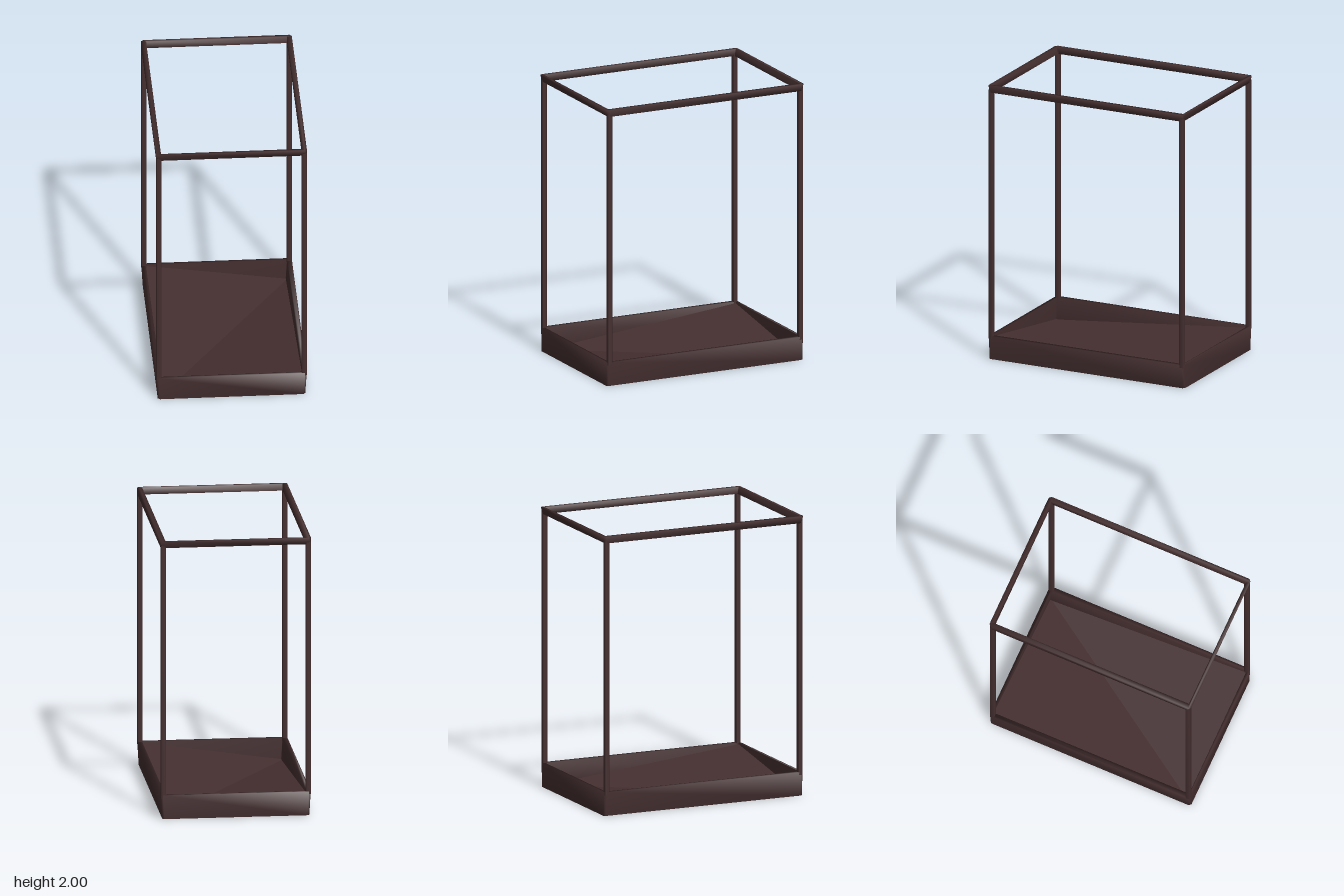
import * as THREE from 'three';
import { mergeVertices } from 'three/addons/utils/BufferGeometryUtils.js';

const frameBrown = new THREE.MeshStandardMaterial({ color: 0x452f30 });
frameBrown.name = 'dark brown';

// Rectangle outline with small cut corners
function outline(path, hx, hz, c) {
  const pts = [[hx - c, -hz], [hx, -hz + c], [hx, hz - c], [hx - c, hz],
    [-hx + c, hz], [-hx, hz - c], [-hx, -hz + c], [-hx + c, -hz]];
  pts.forEach(([x, z], i) => (i ? path.lineTo(x, z) : path.moveTo(x, z)));
  path.closePath();
  return path;
}

// Share vertices so the shading rolls softly over the edges
function soften(geometry) {
  geometry.deleteAttribute('normal');
  geometry.deleteAttribute('uv');
  const g = mergeVertices(geometry, 1e-4);
  g.computeVertexNormals();
  return g;
}

// Hollow rectangular band from y0 to y1; its lower edge is scaled by sx, sz
function band(y0, y1, hx, hz, tx, tz, sx, sz) {
  const shape = outline(new THREE.Shape(), hx, hz, 0.015);
  shape.holes.push(outline(new THREE.Path(), hx - tx, hz - tz, 0.002));
  const g = new THREE.ExtrudeGeometry(shape, { depth: y1 - y0, bevelEnabled: false });
  g.rotateX(-Math.PI / 2).translate(0, y0, 0);
  const p = g.attributes.position;
  for (let i = 0; i < p.count; i++) {
    if (p.getY(i) < y0 + 0.001) p.setXYZ(i, p.getX(i) * sx, y0, p.getZ(i) * sz);
  }
  return soften(g);
}

// Tray floor folded into a shallow valley along one diagonal
function foldedFloor(hx, hz, low, high) {
  const frontRight = [-hx, low, hz], backLeft = [hx, low, -hz];
  const frontLeft = [hx, high, hz], backRight = [-hx, high, -hz];
  const corners = [frontRight, frontLeft, backLeft, frontRight, backLeft, backRight];
  const g = new THREE.BufferGeometry();
  g.setAttribute('position', new THREE.Float32BufferAttribute(corners.flat(), 3));
  g.computeVertexNormals();
  return g;
}

export function createModel() {
  const model = new THREE.Group();
  model.name = 'displayFrame';
  const add = (name, geometry, x = 0, y = 0, z = 0) => {
    const mesh = new THREE.Mesh(geometry, frameBrown);
    mesh.name = name;
    mesh.position.set(x, y, z);
    model.add(mesh);
  };

  // Base: skirt leaning inward at the sides, folded floor inside, flat underside
  add('baseSkirt', band(0, 0.17, 0.527, 0.765, 0.033, 0.02, 0.98, 1.003));
  add('baseFloor', foldedFloor(0.495, 0.746, 0.012, 0.16));
  add('baseUnderside', new THREE.PlaneGeometry(1.0, 1.51).rotateX(Math.PI / 2), 0, 0.003, 0);

  // Top frame, slightly wider at its upper edge
  add('topFrame', band(1.953, 2, 0.527, 0.77, 0.034, 0.024, 1, 0.988));

  // Four corner posts
  const post = outline(new THREE.Shape(), 0.018, 0.0175, 0.006);
  const postGeometry = new THREE.ExtrudeGeometry(post, { depth: 1.82, bevelEnabled: false });
  postGeometry.rotateX(-Math.PI / 2);
  const smoothPost = soften(postGeometry);
  for (const [side, x] of [['Left', 0.509], ['Right', -0.509]]) {
    add('front' + side + 'Post', smoothPost, x, 0.15, 0.746);
    add('back' + side + 'Post', smoothPost, x, 0.15, -0.746);
  }
  return model;
}
